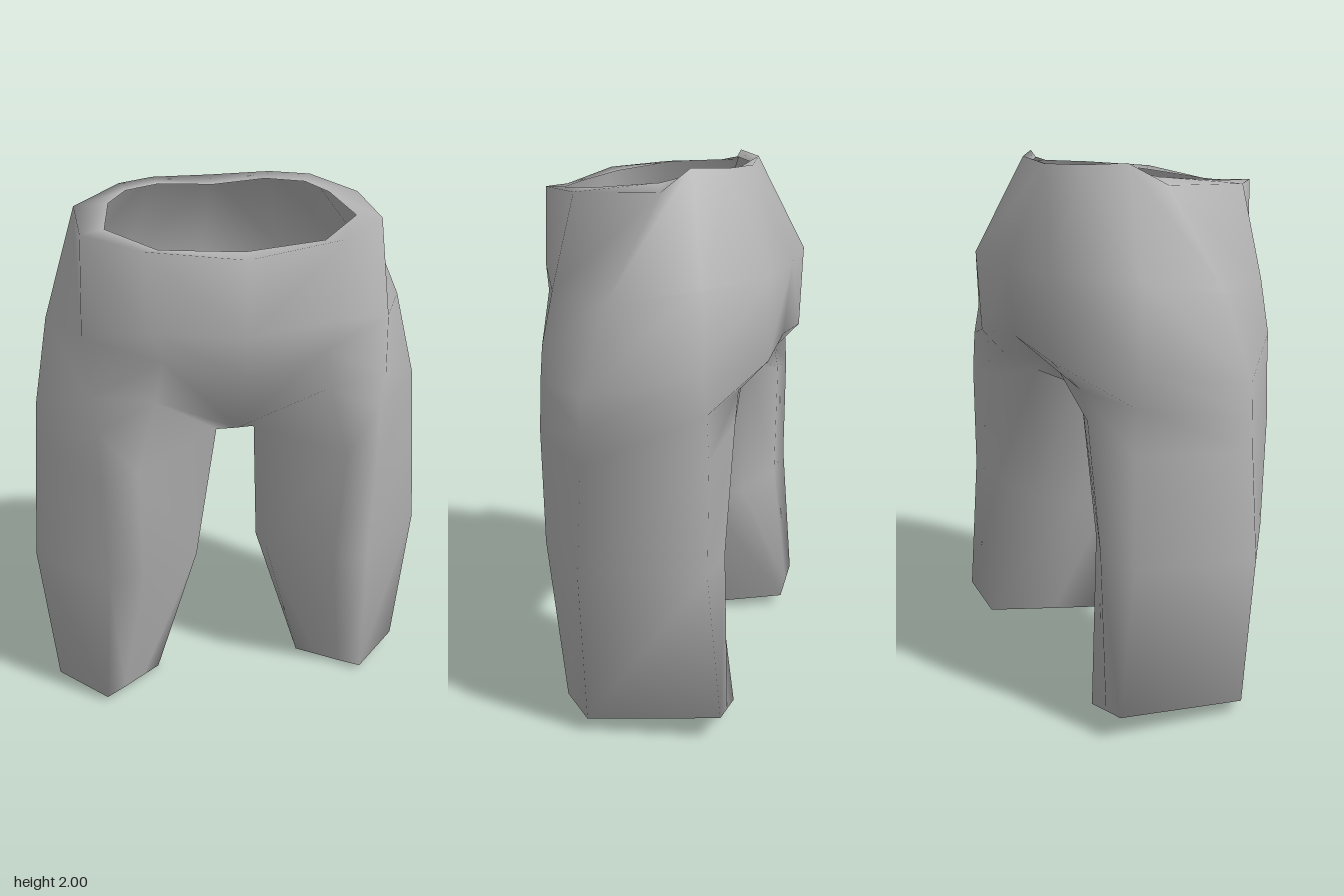
import * as THREE from 'three';
import { mergeVertices } from 'three/addons/utils/BufferGeometryUtils.js';

// Half rings, front centre -> outer side -> back centre, for the +x half
const torsoRings = [
  // inner lip of the waist opening
  [[0, 1.9, .38], [.28, 1.91, .34], [.435, 1.935, .17], [.4, 1.955, -.06], [.33, 1.975, -.14], [.2, 1.97, -.225], [0, 1.96, -.215]],
  // waist rim
  [[0, 1.89, .435], [.33, 1.92, .38], [.52, 1.93, .2], [.52, 1.94, -.1], [.35, 2, -.15], [.22, 1.99, -.25], [0, 1.98, -.28]],
  // hips
  [[0, 1.62, .435], [.32, 1.64, .395], [.54, 1.6, .28], [.65, 1.59, .05], [.58, 1.64, -.25], [.3, 1.64, -.42], [0, 1.64, -.435]],
  // seat
  [[0, 1.47, .433], [.28, 1.54, .405], [.53, 1.4, .33], [.71, 1.29, .12], [.62, 1.36, -.27], [.28, 1.34, -.415], [0, 1.37, -.41]],
];

// Full rings of one leg: the same seven points, then two along the inseam
const legRings = [
  // crotch, rising to the groin in front and to a notch behind
  [[0, 1.2, .27], [.31, 1.39, .39], [.51, 1.27, .35], [.72, 1.17, .12], [.63, 1.24, -.29], [.3, 1.23, -.315], [0, 1.28, -.27], [0, 1.13, -.12], [0, 1.15, .1]],
  // thigh
  [[.07, 1.18, .23], [.38, 1.12, .4], [.51, 1.08, .36], [.73, 1.05, .12], [.635, 1.08, -.3], [.36, 1.13, -.32], [.175, 1.18, -.24], [.14, 1.16, -.07], [.1, 1.17, .1]],
  // knee
  [[.14, .6, .17], [.37, .63, .345], [.5, .64, .36], [.76, .65, .13], [.64, .66, -.3], [.42, .65, -.305], [.23, .62, -.21], [.16, .6, -.07], [.12, .6, .07]],
  // hem
  [[.37, .007, .155], [.45, .013, .22], [.53, .02, .28], [.71, .055, .13], [.63, .1, -.35], [.53, .075, -.35], [.43, .05, -.35], [.35, .02, -.08], [.3, 0, .1]],
];

// Adds a triangle and its mirror image
function addPair(out, a, b, c) {
  const flip = ([x, y, z]) => [-x, y, z];
  out.push(...a, ...b, ...c, ...flip(a), ...flip(c), ...flip(b));
}

// Joins neighbouring rings with quads
function loft(out, rings, closed) {
  for (let r = 0; r + 1 < rings.length; r++) {
    const top = rings[r], low = rings[r + 1];
    const n = Math.min(top.length, low.length);
    for (let i = 0; i < (closed ? n : n - 1); i++) {
      const j = (i + 1) % n;
      addPair(out, top[i], low[i], top[j]);
      addPair(out, top[j], low[i], low[j]);
    }
  }
}

export function createModel() {
  const group = new THREE.Group();
  group.name = 'shorts';
  const cloth = new THREE.MeshStandardMaterial({ color: 0xb4b4b4, side: THREE.DoubleSide });
  cloth.name = 'grey cloth';

  // Waist, seat and both legs as one smooth skin
  const skin = [];
  loft(skin, [...torsoRings, legRings[0]], false);
  loft(skin, legRings, true);

  // Closed leg ends, fanned from the inner front corner
  const hem = legRings[legRings.length - 1];
  const corner = hem[hem.length - 1];
  for (let i = 0; i < hem.length - 2; i++) addPair(skin, corner, hem[i + 1], hem[i]);

  let geometry = new THREE.BufferGeometry();
  geometry.setAttribute('position', new THREE.Float32BufferAttribute(skin, 3));
  geometry = mergeVertices(geometry, 1e-4);
  geometry.computeVertexNormals();
  const body = new THREE.Mesh(geometry, cloth);
  body.name = 'shortsBody';
  group.add(body);
  return group;
}
